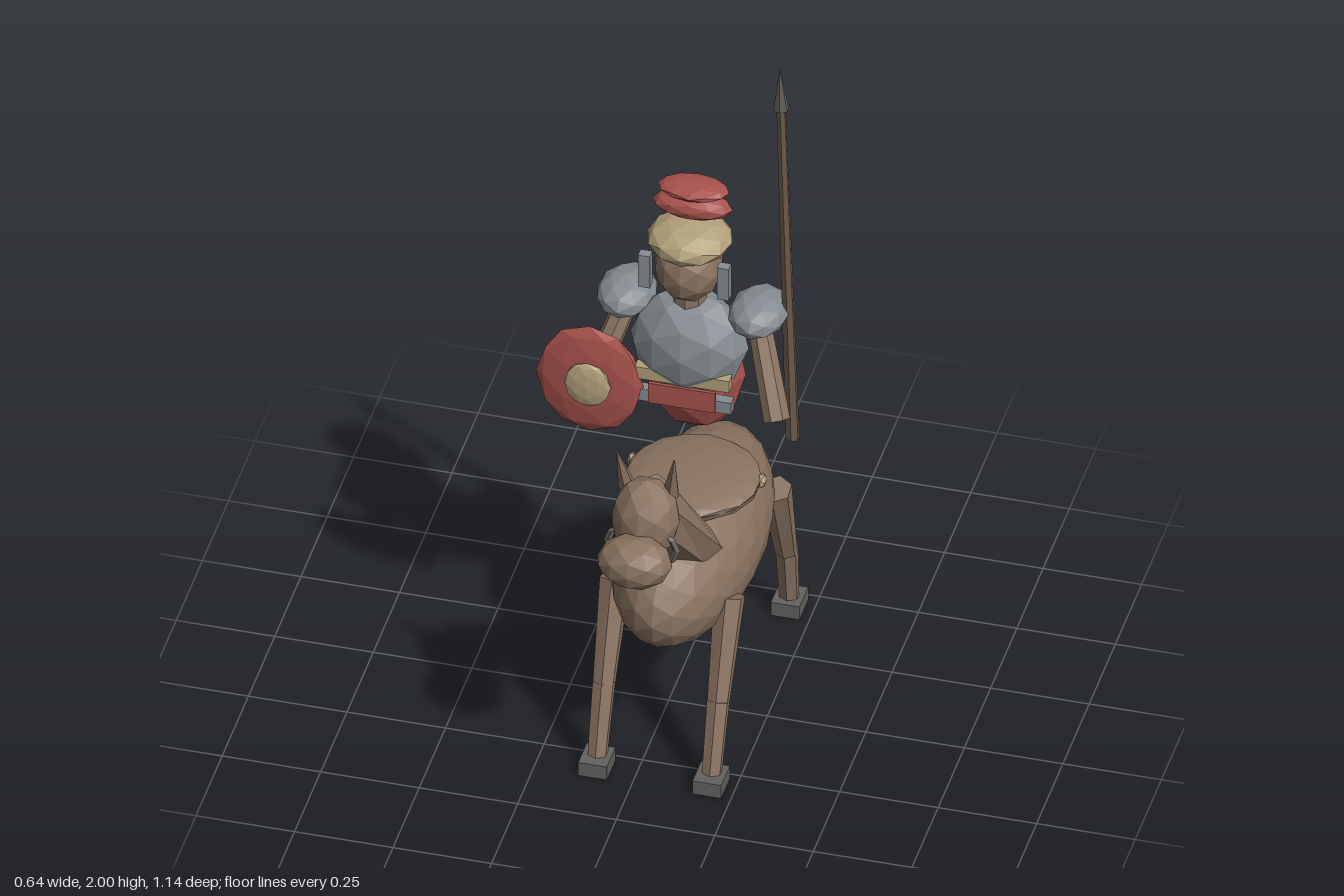
import * as THREE from 'three';

const CX = 0.045; // centre line shared by mount and rider

export function createModel() {
  const root = new THREE.Group();
  root.name = 'mountedSoldier';
  const mount = new THREE.Group(), rider = new THREE.Group();
  mount.name = 'horse';
  rider.name = 'rider';
  root.add(mount, rider);

  const paint = (name, color) => {
    const m = new THREE.MeshStandardMaterial({ color, flatShading: true });
    m.name = name;
    return m;
  };
  const brown = paint('brown', 0x8a7361);
  const wood = paint('wood', 0x735f50);
  const red = paint('red', 0xa9524d);
  const tan = paint('tan', 0xb3a17c);
  const steel = paint('steel', 0x868d92);
  const dark = paint('darkGrey', 0x646260);

  const add = (parent, name, geometry, material, pos) => {
    const mesh = new THREE.Mesh(geometry, material);
    mesh.name = name;
    mesh.position.set(...pos);
    parent.add(mesh);
    return mesh;
  };

  // faceted ellipsoid
  const blob = (parent, name, material, pos, radii, detail = 1) =>
    add(parent, name, new THREE.IcosahedronGeometry(1, detail).scale(...radii), material, pos);

  const box = (parent, name, material, pos, size) =>
    add(parent, name, new THREE.BoxGeometry(...size), material, pos);

  // tapered bar from a to b, with radii [across, deep] at each end
  const limb = (parent, name, material, a, b, ra, rb, sides = 6) => {
    const from = new THREE.Vector3(...a), to = new THREE.Vector3(...b);
    const dir = to.clone().sub(from);
    const geo = new THREE.CylinderGeometry(1, 1, 1, sides);
    const p = geo.attributes.position;
    for (let i = 0; i < p.count; i++) {
      const r = p.getY(i) > 0 ? rb : ra;
      p.setXYZ(i, p.getX(i) * r[0], p.getY(i) * dir.length(), p.getZ(i) * r[1]);
    }
    const mid = from.add(to).multiplyScalar(0.5);
    const mesh = add(parent, name, geo, material, mid.toArray());
    mesh.quaternion.setFromUnitVectors(new THREE.Vector3(0, 1, 0), dir.normalize());
    return mesh;
  };

  // --- horse: barrel, neck, head ---
  blob(mount, 'barrel', brown, [CX, 0.478, -0.06], [0.18, 0.194, 0.395], 3);
  limb(mount, 'neck', brown, [CX, 0.61, 0.145], [CX, 0.86, 0.345], [0.13, 0.062], [0.062, 0.085], 8);
  blob(mount, 'horseHead', brown, [CX, 0.86, 0.39], [0.086, 0.115, 0.083]);
  blob(mount, 'muzzle', brown, [CX, 0.802, 0.495], [0.095, 0.068, 0.075]);
  const band = new THREE.TorusGeometry(0.072, 0.008, 4, 12).scale(1.22, 0.85, 1);
  add(mount, 'noseBand', band, dark, [CX, 0.80, 0.425]);

  // saddle and tail
  blob(mount, 'saddle', brown, [CX, 0.655, -0.062], [0.168, 0.03, 0.168], 2);
  limb(mount, 'saddleRim', wood, [CX, 0.642, -0.062], [CX, 0.652, -0.062], [0.168, 0.168], [0.168, 0.168], 14);
  limb(mount, 'tail', dark, [CX, 0.46, -0.42], [CX, 0.2, -0.565], [0.052, 0.05], [0.002, 0.002], 7);

  // paired parts of the horse
  for (const s of [-1, 1]) {
    const x = CX + s * 0.145;
    limb(mount, 'ear', brown, [CX + s * 0.055, 0.92, 0.355], [CX + s * 0.073, 1.05, 0.39],
      [0.023, 0.023], [0.002, 0.002], 5);
    blob(mount, 'stirrupStud', tan, [CX + s * 0.165, 0.645, -0.1], [0.012, 0.02, 0.022], 0);
    // hip, knee, ankle and hoof positions along z
    for (const [end, hip, knee, ankle, hoof] of [
      ['front', 0.135, 0.245, 0.305, 0.31], ['rear', -0.31, -0.405, -0.435, -0.437]]) {
      limb(mount, end + 'UpperLeg', brown, [x, 0.46, hip], [x, 0.2, knee], [0.04, 0.04], [0.029, 0.026]);
      limb(mount, end + 'LowerLeg', brown, [x, 0.215, knee - 0.003], [x, 0.03, ankle], [0.03, 0.024], [0.026, 0.022]);
      box(mount, end + 'Hoof', dark, [x, 0.02, hoof], [0.073, 0.04, 0.083]);
    }
  }

  // --- rider: cape, armour, belt ---
  blob(rider, 'cape', red, [CX, 0.98, -0.077], [0.13, 0.178, 0.077]);
  blob(rider, 'breastplate', steel, [CX, 1.1, -0.03], [0.15, 0.148, 0.1]);
  box(rider, 'belt', tan, [CX, 1.03, 0.03], [0.24, 0.035, 0.03]);
  box(rider, 'hipPlate', steel, [CX, 0.963, 0.03], [0.25, 0.035, 0.028]);
  box(rider, 'sash', red, [CX, 0.975, 0.043], [0.17, 0.06, 0.009]);

  // head, helmet and crest
  limb(rider, 'riderNeck', brown, [CX, 1.2, -0.03], [CX, 1.29, -0.03], [0.045, 0.045], [0.042, 0.042], 8);
  blob(rider, 'riderHead', brown, [CX, 1.34, -0.02], [0.086, 0.097, 0.09]);
  blob(rider, 'helmet', tan, [CX, 1.415, -0.032], [0.107, 0.05, 0.105]);
  blob(rider, 'lowerCrest', red, [CX, 1.497, -0.057], [0.102, 0.036, 0.044]);
  blob(rider, 'upperCrest', red, [CX, 1.54, -0.067], [0.09, 0.02, 0.053]);

  // paired parts of the rider
  for (const s of [-1, 1]) {
    box(rider, 'cheekGuard', steel, [CX + s * 0.1, 1.333, 0.018], [0.03, 0.097, 0.025]);
    blob(rider, 'shoulderGuard', steel, [CX + s * 0.167, 1.197, -0.06], [0.074, 0.05, 0.097]);
    limb(rider, 'arm', brown, [CX + s * 0.165, 1.17, -0.065], [CX + s * 0.24, 0.95, 0.04],
      [0.03, 0.03], [0.035, 0.033], 7);
  }

  // round shield on the right arm
  blob(rider, 'shield', red, [-0.19, 0.985, 0.04], [0.137, 0.16, 0.027]);
  blob(rider, 'shieldBoss', tan, [-0.187, 0.99, 0.073], [0.06, 0.066, 0.016]);

  // spear in the left hand
  limb(rider, 'spearShaft', wood, [0.282, 0.775, -0.12], [0.282, 1.89, -0.01], [0.018, 0.014], [0.012, 0.01], 6);
  limb(rider, 'spearHead', dark, [0.282, 1.87, -0.012], [0.282, 2.0, 0], [0.02, 0.017], [0.001, 0.001], 6);

  return root;
}
